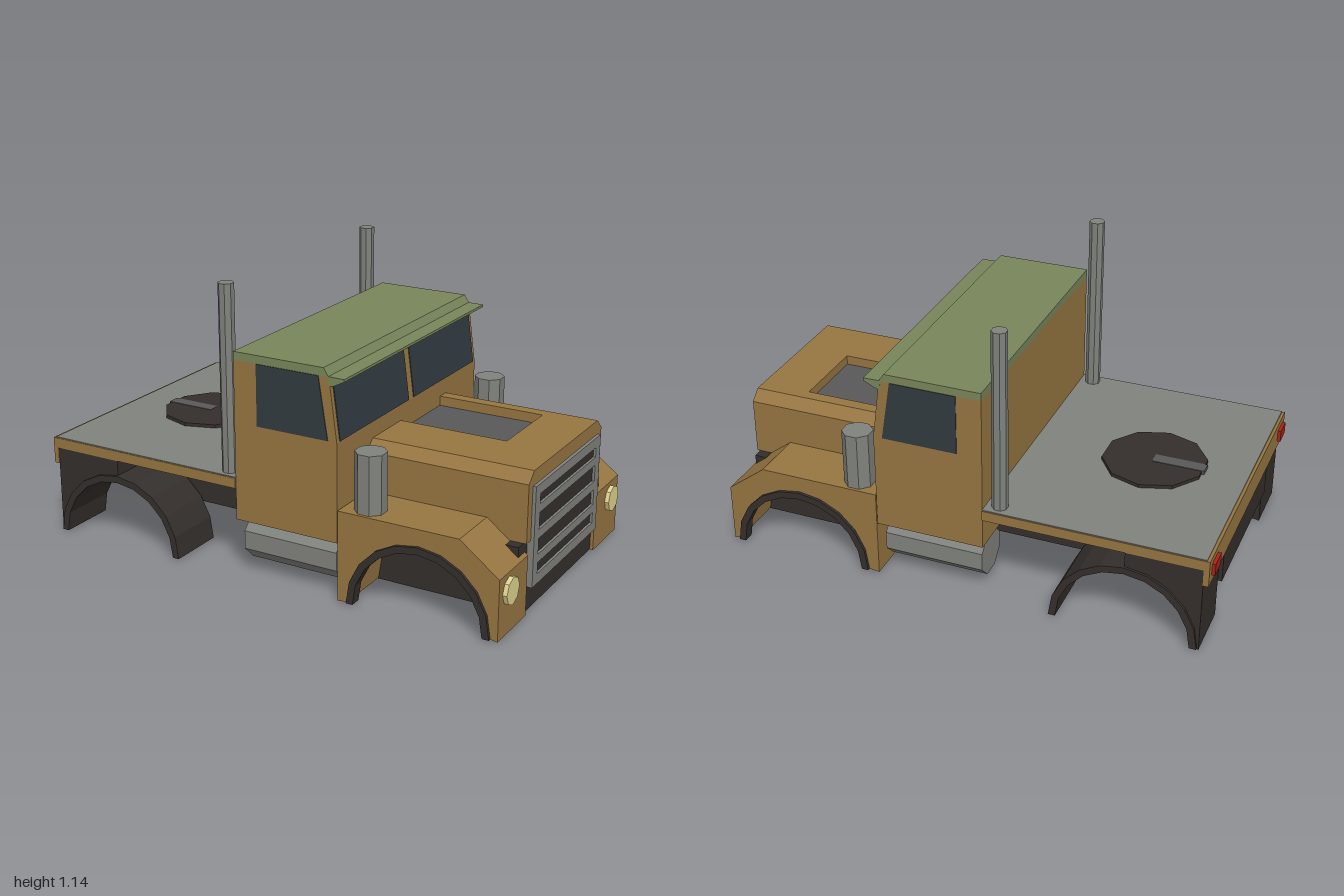
import * as THREE from 'three';

const mat = (color, double = false) => new THREE.MeshStandardMaterial({
  color, flatShading: true, side: double ? THREE.DoubleSide : THREE.FrontSide });
const brown = mat(0x967541), green = mat(0x78855a), steel = mat(0x80827d), dark = mat(0x342f2c),
  glass = mat(0x323b40), lamp = mat(0xddd28e), red = mat(0xaa2218), floorGrey = mat(0x585858);

export function createModel() {
  const truck = new THREE.Group();

  const add = (name, geometry, material) => {
    const mesh = new THREE.Mesh(geometry, material);
    mesh.name = name;
    truck.add(mesh);
    return mesh;
  };
  // Box given by its limits on each axis
  const box = (name, m, x0, x1, y0, y1, z0, z1) =>
    add(name, new THREE.BoxGeometry(x1 - x0, y1 - y0, z1 - z0)
      .translate((x0 + x1) / 2, (y0 + y1) / 2, (z0 + z1) / 2), m);
  const toShape = (pts) => new THREE.Shape(pts.map(([a, b]) => new THREE.Vector2(a, b)));
  // Side outline (x, y) extruded between two z values
  const sidePlate = (name, m, pts, z0, z1) =>
    add(name, new THREE.ExtrudeGeometry(toShape(pts), { depth: z1 - z0, bevelEnabled: false })
      .translate(0, 0, z0), m);
  // Front outline (-z, y) extruded between two x values
  const frontPlate = (name, m, shape, x0, x1) =>
    add(name, new THREE.ExtrudeGeometry(shape, { depth: x1 - x0, bevelEnabled: false })
      .rotateY(Math.PI / 2).translate(x0, 0, 0), m);
  // z limits of a part repeated on both sides
  const bothSides = (z0, z1, fn) => { fn(z0, z1); fn(-z1, -z0); };
  // Half circle of points, from the +x end to the -x end
  const arc = (cx, r, from = 0, to = 10) => Array.from({ length: to - from + 1 }, (_, i) => {
    const a = (from + i) / 10 * Math.PI;
    return [cx + r * Math.cos(a), 0.005 + r * Math.sin(a)];
  });
  const archBand = (cx) => [...arc(cx, 0.29), ...arc(cx, 0.262).reverse()];

  // Chassis and load bed
  box('chassisFrame', dark, -0.98, 0.34, 0.15, 0.36, -0.33, 0.33);
  box('engineBay', dark, 0.33, 0.97, 0.002, 0.36, -0.33, 0.33);
  box('bed', brown, -0.985, -0.11, 0.357, 0.398, -0.573, 0.573);
  box('bedRearLip', brown, -0.987, -0.965, 0.29, 0.398, -0.573, 0.573);
  box('bedPlate', steel, -0.975, -0.11, 0.396, 0.402, -0.57, 0.57);

  // Coupling disc with its slot
  add('couplingDisc', new THREE.CylinderGeometry(0.207, 0.207, 0.016, 10).translate(-0.603, 0.408, 0), dark);
  box('couplingSlot', floorGrey, -0.81, -0.6, 0.402, 0.418, -0.026, 0.026);

  // Cab with sloped windscreen
  sidePlate('cab', brown, [[-0.11, 0.23], [0.33, 0.23], [0.33, 0.62], [0.297, 0.866], [-0.11, 0.866]], -0.567, 0.567);
  sidePlate('roof', green, [[-0.11, 0.865], [0.297, 0.865], [0.276, 0.897], [-0.11, 0.897]], -0.568, 0.568);
  sidePlate('sunVisor', green, [[0.295, 0.83], [0.315, 0.833], [0.36, 0.856], [0.36, 0.866], [0.29, 0.867]], -0.568, 0.568);
  bothSides(0.56, 0.57, (z0, z1) =>
    sidePlate('sideWindow', glass, [[-0.01, 0.623], [0.293, 0.623], [0.254, 0.864], [-0.01, 0.864]], z0, z1));
  bothSides(0.02, 0.547, (z0, z1) =>
    sidePlate('windscreen', glass, [[0.32, 0.623], [0.333, 0.623], [0.305, 0.832], [0.29, 0.832]], z0, z1));

  // Hood, its chamfered top and the offset opening
  box('hood', brown, 0.33, 0.983, 0.29, 0.516, -0.345, 0.345);
  const hoodTop = (a, b) => toShape([[a, 0.515], [b, 0.515],
    ...(b > 0.3 ? [[b, 0.517], [0.302, 0.557]] : [[b, 0.557]]),
    ...(a < -0.3 ? [[-0.302, 0.557], [a, 0.517]] : [[a, 0.557]])]);
  frontPlate('hoodTopFront', brown, hoodTop(-0.345, 0.345), 0.775, 0.983);
  frontPlate('hoodTopLeft', brown, hoodTop(-0.345, -0.08), 0.32, 0.775);
  frontPlate('hoodTopRight', brown, hoodTop(0.252, 0.345), 0.32, 0.775);
  box('hoodOpeningFloor', floorGrey, 0.33, 0.776, 0.512, 0.518, -0.252, 0.08);

  // Grille frame with slots over a dark core
  const grille = toShape([[-0.309, 0.105], [0.309, 0.105], [0.309, 0.5], [-0.309, 0.5]]);
  for (const [y0, y1] of [[0.145, 0.19], [0.223, 0.285], [0.32, 0.387], [0.42, 0.46]]) {
    grille.holes.push(new THREE.Path([[-0.266, y0], [-0.266, y1], [0.266, y1], [0.266, y0]]
      .map(([a, b]) => new THREE.Vector2(a, b))));
  }
  box('grilleCore', dark, 0.95, 0.986, 0.11, 0.495, -0.3, 0.3);
  frontPlate('grille', steel, grille, 0.965, 0.996);

  // Front fenders with wheel arch and dark trim
  bothSides(0.328, 0.568, (z0, z1) =>
    sidePlate('frontFender', brown, [[0.333, 0], [0.333, 0.36], [0.825, 0.36], [0.983, 0.24], [0.983, 0],
      ...arc(0.665, 0.29)], z0, z1));
  bothSides(0.535, 0.58, (z0, z1) => sidePlate('frontArchTrim', dark, archBand(0.665), z0, z1));

  // Rear fenders: arch band plus the filled corner behind it
  bothSides(0.34, 0.58, (z0, z1) => sidePlate('rearArch', dark, archBand(-0.67), z0, z1));
  bothSides(0.34, 0.57, (z0, z1) =>
    sidePlate('rearFenderCorner', dark, [...arc(-0.67, 0.28, 5, 10), [-0.966, 0], [-0.966, 0.358], [-0.67, 0.358]], z0, z1));

  // Parts mirrored left and right
  for (const s of [1, -1]) {
    add('exhaustStack', new THREE.CylinderGeometry(0.031, 0.031, 0.75, 8)
      .rotateY(Math.PI / 8).translate(-0.164, 0.765, s * 0.524), steel);
    add('airFilter', new THREE.CylinderGeometry(0.061, 0.061, 0.24, 8)
      .rotateY(Math.PI / 8).translate(0.433, 0.47, s * 0.499), steel);
    add('fuelTank', new THREE.CylinderGeometry(0.095, 0.095, 0.405, 8)
      .rotateY(Math.PI / 8).rotateZ(Math.PI / 2).translate(0.108, 0.138, s * 0.45), steel);
    add('headlight', new THREE.CylinderGeometry(0.054, 0.054, 0.03, 8)
      .rotateZ(Math.PI / 2).translate(0.985, 0.17, s * 0.485), lamp);
    box('hoodHinge', dark, 0.92, 0.97, 0.25, 0.289, s * 0.348 - 0.037, s * 0.348 + 0.037);
    box('tailLight', red, -1, -0.98, 0.322, 0.37, s * 0.5 - 0.04, s * 0.5 + 0.04);
  }
  return truck;
}
